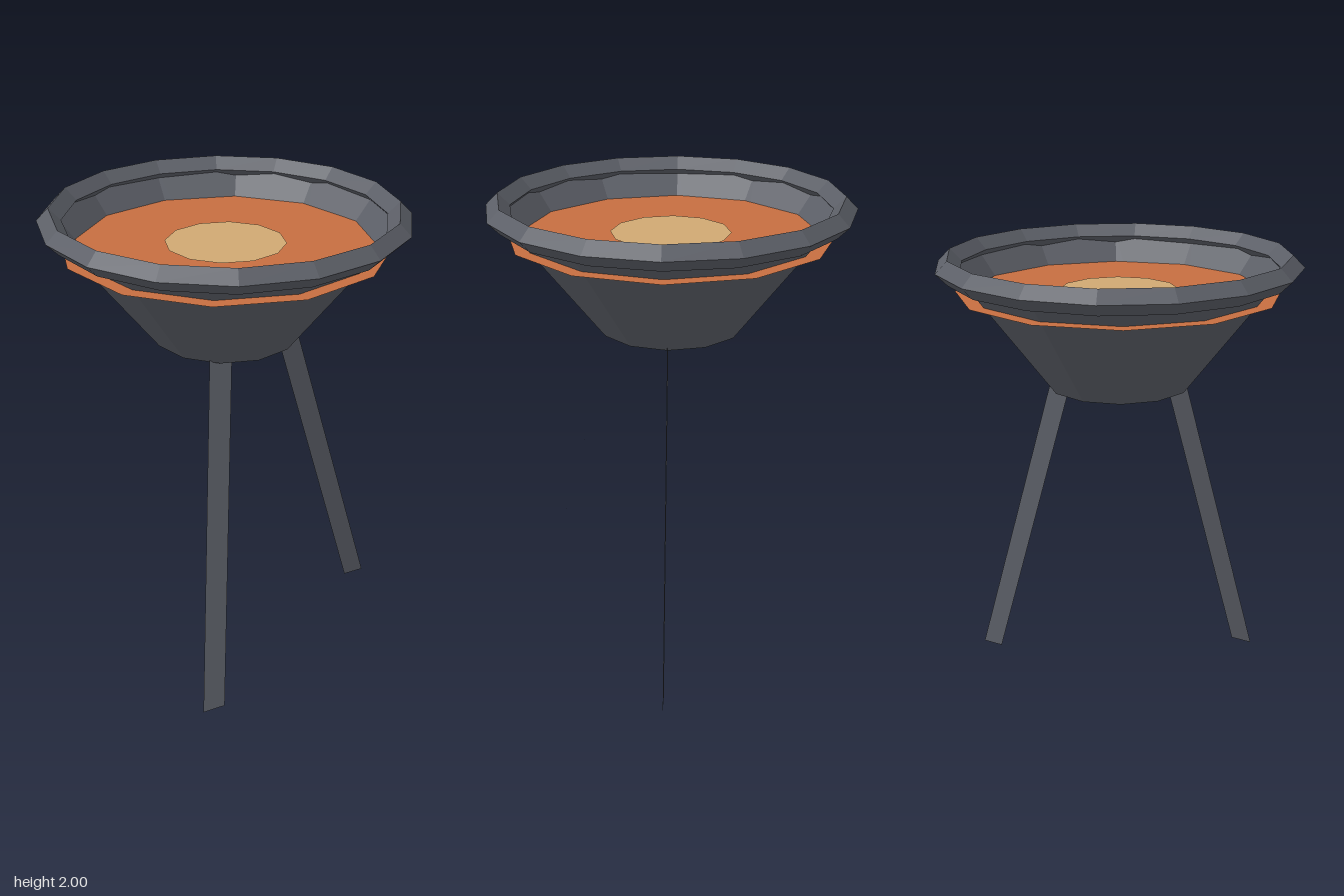
import * as THREE from 'three';

export function createModel() {
  const model = new THREE.Group();
  const makeMaterial = (name, color) => new THREE.MeshStandardMaterial({
    name, color, flatShading: true, side: THREE.DoubleSide,
  });
  const iron = makeMaterial('dark iron', 0x5c5f67);
  const ember = makeMaterial('ember orange', 0xc66e40);
  const glow = makeMaterial('pale glow', 0xcfa872);

  const add = (name, geometry, material, y = 0) => {
    const mesh = new THREE.Mesh(geometry, material);
    mesh.name = name;
    mesh.position.y = y;
    model.add(mesh);
    return mesh;
  };

  // Open tapered bowl, from y = 1.44 to y = 1.95
  add('bowl', new THREE.CylinderGeometry(0.705, 0.305, 0.51, 12, 1, true), iron, 1.695);

  // Diamond-section rim
  add('rim', new THREE.TorusGeometry(0.71, 0.05, 4, 16).rotateX(Math.PI / 2), iron, 1.95);

  // Flat ember bed, reaching a little through the bowl wall, with a bright core
  add('emberBed', new THREE.CircleGeometry(0.68, 12).rotateX(-Math.PI / 2), ember, 1.84);
  add('emberCore', new THREE.CircleGeometry(0.25, 12).rotateX(-Math.PI / 2), glow, 1.845);

  // Flat ribbon legs, splayed outwards from the bowl's foot
  const legHeight = 1.46;
  const addLeg = (name, angle) => {
    const geometry = new THREE.PlaneGeometry(0.1, legHeight).translate(0, legHeight / 2, 0);
    const p = geometry.attributes.position;
    for (let i = 0; i < p.count; i++) {
      const r = THREE.MathUtils.lerp(0.71, 0.275, p.getY(i) / legHeight);
      p.setX(i, p.getX(i) + r * Math.cos(angle));
      p.setZ(i, r * Math.sin(angle));
    }
    geometry.computeVertexNormals();
    add(name, geometry, iron);
  };
  addLeg('leftLeg', 0);
  addLeg('rightLeg', Math.PI * 2 / 3);

  return model;
}
